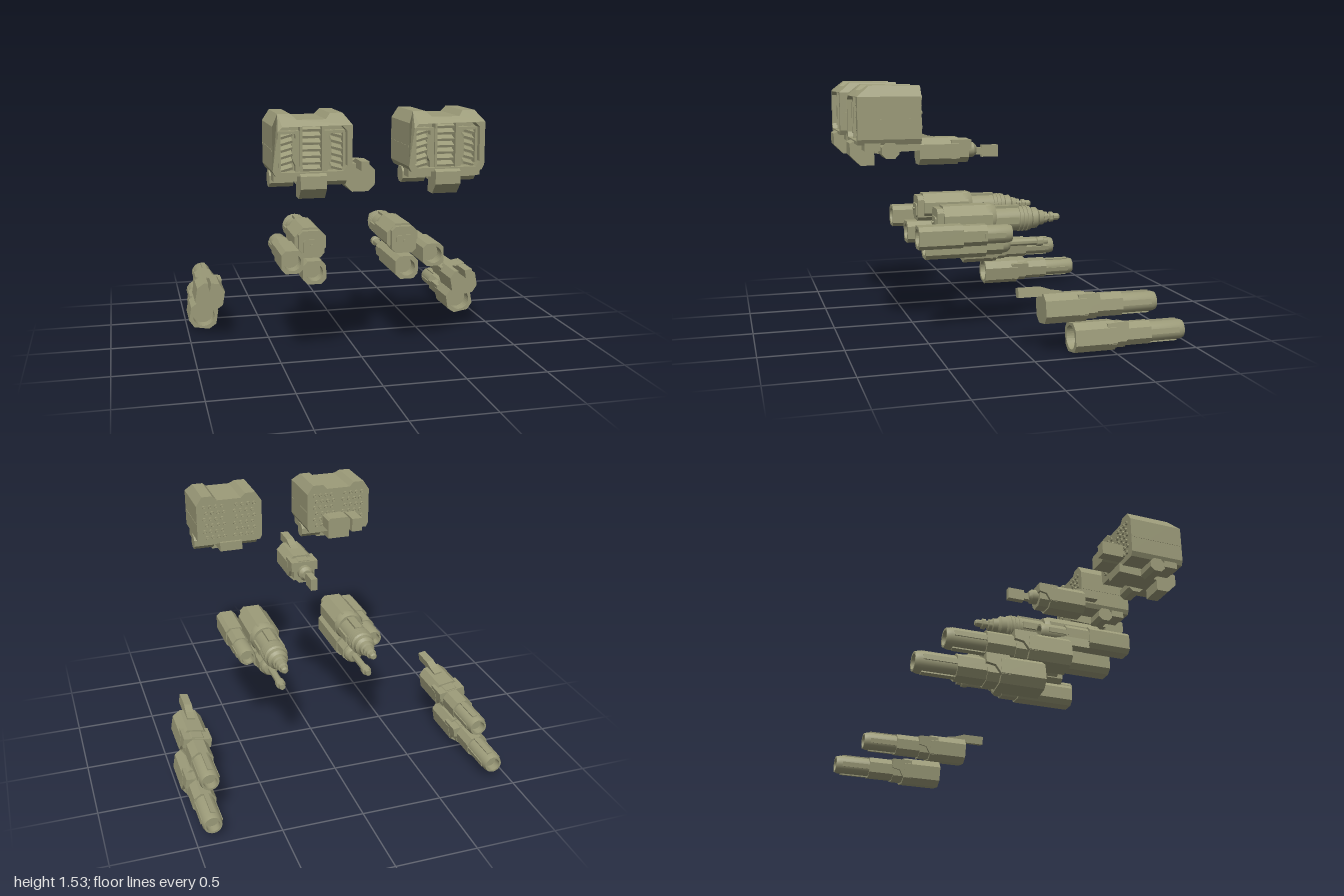
import * as THREE from 'three';
import { toCreasedNormals, mergeGeometries } from 'three/addons/utils/BufferGeometryUtils.js';

const olive = new THREE.MeshStandardMaterial({ color: 0x9c9b79, side: THREE.DoubleSide });
olive.name = 'olive grey';

function add(parent, name, geometry, x = 0, y = 0, z = 0) {
  const mesh = new THREE.Mesh(geometry, olive);
  mesh.name = name;
  mesh.position.set(x, y, z);
  parent.add(mesh);
  return mesh;
}
function group(parent, name, x = 0, y = 0, z = 0) {
  const g = new THREE.Group();
  g.name = name;
  g.position.set(x, y, z);
  parent.add(g);
  return g;
}
const shapeOf = pts => new THREE.Shape(pts.map(p => new THREE.Vector2(p[0], p[1])));
const box = (w, h, d) => new THREE.BoxGeometry(w, h, d);

// Extrude along z between z0 and z1
function extrudeZ(shape, z0, z1) {
  return new THREE.ExtrudeGeometry(shape, { depth: z1 - z0, bevelEnabled: false, curveSegments: 16 }).translate(0, 0, z0);
}
// Side profile given as (z, y) pairs, extruded across x
function extrudeX(pts, w) {
  return new THREE.ExtrudeGeometry(shapeOf(pts), { depth: w, bevelEnabled: false })
    .rotateY(-Math.PI / 2).translate(w / 2, 0, 0);
}
const octagon = (w, h, c) => {
  const a = w / 2, b = h / 2;
  return [[-a + c, -b], [a - c, -b], [a, -b + c], [a, b - c], [a - c, b], [-a + c, b], [-a, b - c], [-a, -b + c]];
};
// Chamfered bar along z, with an optional round recess in its front
function prism(w, h, c, z0, z1, bore = 0, depth = 0.08) {
  const solid = extrudeZ(shapeOf(octagon(w, h, c)), z0, z1 - (bore ? depth : 0));
  if (!bore) return solid;
  const ring = shapeOf(octagon(w, h, c));
  ring.holes.push(new THREE.Path().absarc(0, 0, bore, 0, Math.PI * 2, true));
  return mergeGeometries([solid, extrudeZ(ring, z1 - depth, z1)]);
}
// Turned part along z, profile given as (radius, z) pairs
function turned(pts, sides = 24) {
  const g = new THREE.LatheGeometry(pts.map(p => new THREE.Vector2(p[0], p[1])), sides).rotateX(Math.PI / 2);
  return toCreasedNormals(g, 0.6);
}
// Barrel with an open bore at its rear end
const barrel = (r, z0, z1) => turned([[0, z0 + 0.05], [r * 0.68, z0 + 0.05], [r * 0.68, z0],
  [r * 0.88, z0], [r, z0 + 0.025], [r, z1], [0, z1]]);

// Launcher pod: louvred front, nozzles behind
function pod(parent, s) {
  const g = group(parent, s > 0 ? 'leftPod' : 'rightPod', 0.38 * s, 0, 0);
  const outline = [[-0.205, 1.2], [0.205, 1.2], [0.22, 1.23], [0.22, 1.47], [0.18, 1.53], [0.11, 1.53],
    [0.08, 1.5], [-0.08, 1.5], [-0.11, 1.53], [-0.18, 1.53], [-0.22, 1.47], [-0.22, 1.23]];
  add(g, 'podBody', extrudeZ(shapeOf(outline), 0.55, 0.84));
  const rim = shapeOf(outline);
  rim.holes.push(new THREE.Path([[-0.17, 1.22], [-0.19, 1.25], [-0.19, 1.44], [-0.165, 1.465], [0.165, 1.465],
    [0.19, 1.44], [0.19, 1.25], [0.17, 1.22]].map(p => new THREE.Vector2(p[0], p[1]))));
  const rimGeo = extrudeZ(rim, 0.84, 0.915);
  const p = rimGeo.attributes.position;
  for (let i = 0; i < p.count; i++) { // slope the brow of the rim backwards
    if (p.getZ(i) > 0.9) p.setZ(i, p.getZ(i) - Math.max(0, p.getY(i) - 1.47) * 1.2);
  }
  rimGeo.computeVertexNormals();
  add(g, 'podRim', rimGeo);

  // Louvres
  for (let i = 0; i < 7; i++) {
    const y = 1.235 + i * 0.036;
    add(g, 'middleSlat', box(0.1, 0.014, 0.05), 0, y, 0.86).rotation.x = 0.35;
    for (const m of [-1, 1]) {
      if (i < 6) add(g, 'sideSlat', box(0.065, 0.014, 0.05), 0.137 * m, y + 0.005, 0.86).rotation.set(0.35, 0, -0.3 * m);
    }
  }
  for (const m of [-1, 1]) {
    add(g, 'louvrePost', box(0.014, 0.245, 0.06), 0.06 * m, 1.342, 0.868);
    const bracket = shapeOf([[0.065, 1.22], [0.09, 1.22], [0.09, 1.25], [0.108, 1.29], [0.108, 1.37],
      [0.09, 1.4], [0.09, 1.425], [0.185, 1.425], [0.185, 1.44], [0.065, 1.44]].map(q => [q[0] * m, q[1]]));
    add(g, 'louvreBracket', extrudeZ(bracket, 0.84, 0.885));
    add(g, 'outerPost', box(0.014, 0.19, 0.05), 0.178 * m, 1.335, 0.865);
    // Rounded feet below the pod
    const foot = octagon(0.1, 0.09, 0.025).map(q => [q[0] + 0.73, q[1] + 1.165]);
    add(g, 'podFoot', extrudeX(foot, 0.135), 0.15 * m);
    add(g, 'frontLip', box(0.13, 0.05, 0.09), 0.145 * m, 1.19, 0.83);
    add(g, 'sideSeam', box(0.006, 0.01, 0.34), 0.219 * m, 1.34, 0.73);
    // Rear nozzles
    for (let r = 0; r < 6; r++) for (let c = 0; c < 4; c++) {
      const x = 0.035 + c * 0.04 + (r % 2) * 0.014;
      add(g, 'nozzle', turned([[0, 0.012], [0.007, 0.012], [0.007, -0.01], [0.012, -0.01], [0.014, 0.015]], 8),
        x * m, 1.25 + r * 0.042, 0.548);
    }
  }
  add(g, 'chinBlock', extrudeX([[0.8, 1.07], [0.88, 1.07], [0.94, 1.13], [0.94, 1.2], [0.9, 1.22], [0.8, 1.22]], 0.145));
  add(g, 'bellyBlock', extrudeX([[0.53, 1.15], [0.8, 1.14], [0.8, 1.21], [0.53, 1.21]], 0.15));
  if (s < 0) {
    add(g, 'rearCoupler', prism(0.155, 0.1, 0.015, 0.43, 0.56), 0.035, 1.28);
    add(g, 'rearCouplerSide', box(0.07, 0.09, 0.16), -0.08, 1.28, 0.475);
  }
}

// Chamfered cannon housing with its front at z = 0
function housing(g, bore) {
  add(g, 'housing', prism(0.18, 0.17, 0.04, -0.25, 0, bore));
  add(g, 'housingCheeks', extrudeX([[-0.2, -0.05], [-0.25, -0.05], [-0.28, 0], [-0.33, 0.01], [-0.33, 0.07], [-0.2, 0.07]], 0.175));
  add(g, 'housingTail', prism(0.14, 0.15, 0.035, -0.32, -0.24));
}
const bladeProfile = [[0.14, 0.07], [-0.08, 0.07], [-0.12, 0.08], [-0.12, 0.095], [-0.06, 0.105], [0, 0.125], [0.14, 0.125]];

// Single cannon in the middle
function middleCannon(parent) {
  const g = group(parent, 'middleCannon', -0.002, 1.105, 0.455);
  housing(g, 0);
  add(g, 'sight', extrudeX(bladeProfile, 0.05), 0, -0.012, -0.015);
  add(g, 'collar', turned([[0, -0.38], [0.03, -0.38], [0.048, -0.36], [0.048, -0.31]]));
  add(g, 'stem', box(0.032, 0.045, 0.1), 0, -0.01, -0.4);
  add(g, 'stemBlock', box(0.042, 0.075, 0.11), 0, -0.01, -0.47);
}

// Outer pair of stacked cannons, leaning inward
function outerCannons(parent, s) {
  const back = s > 0 ? 0 : 0.03, lift = s > 0 ? 0 : 0.015;
  const g = group(parent, s > 0 ? 'leftOuterCannons' : 'rightOuterCannons', 0.866 * s, 0.265 + lift, -0.08 + back);
  g.rotation.z = 0.17 * s;
  const unit = (name, y, z, bore) => {
    const u = group(g, name, 0, y, z);
    housing(u, bore);
    add(u, 'sleeve', prism(0.135, 0.135, 0.035, -0.48, -0.3));
    add(u, 'barrel', barrel(0.06, -0.7, -0.4));
    for (const m of [-1, 1]) {
      add(u, 'barrelRail', box(0.012, 0.03, 0.2), 0.058 * m, 0, -0.56);
      add(u, 'barrelRib', box(0.03, 0.012, 0.2), 0, 0.06 * m, -0.56);
    }
    return u;
  };
  const top = unit('upperCannon', 0, 0, 0);
  add(top, 'sight', extrudeX(bladeProfile, 0.05));
  unit('lowerCannon', -0.178, -0.17, 0.07);
}

// Inner cluster of three cannons
function innerCluster(parent, s) {
  const g = group(parent, s > 0 ? 'leftInnerCluster' : 'rightInnerCluster');

  const main = group(g, 'mainCannon', 0.29 * s, 0.705, 0);
  add(main, 'mainHousing', prism(0.195, 0.18, 0.055, 0.07, 0.37));
  add(main, 'mainShoulder', turned([[0, 0.04], [0.085, 0.04], [0.097, 0.07], [0.097, 0.1]]));
  add(main, 'mainFront', prism(0.155, 0.165, 0.025, 0.3, 0.41), 0, -0.005);
  add(main, 'frontPlate', prism(0.1, 0.09, 0.012, 0.41, 0.418), 0, -0.02);
  add(main, 'frontPin', turned([[0, 0.43], [0.008, 0.43], [0.008, 0.41]].reverse(), 10), 0, -0.01);
  add(main, 'mainBarrel', turned([[0, -0.39], [0.014, -0.39], [0.022, -0.38], [0.022, -0.35], [0.032, -0.345], [0.032, -0.325],
    [0.022, -0.32], [0.022, -0.31], [0.035, -0.305], [0.035, -0.285], [0.045, -0.28], [0.048, -0.25], [0.065, -0.235],
    [0.065, -0.2], [0.075, -0.19], [0.075, 0.06]]), 0, -0.01);
  for (const z of [-0.17, -0.145, -0.12]) add(main, 'barrelBand', turned([[0.07, z - 0.008], [0.08, z - 0.005], [0.08, z + 0.005], [0.07, z + 0.008]]), 0, -0.01);
  for (const m of [-1, 1]) add(main, 'barrelRail', box(0.016, 0.04, 0.17), 0.077 * m, -0.01, -0.02);
  add(main, 'topRail', box(0.05, 0.02, 0.2), 0, 0.065, -0.02);

  const low = group(g, 'lowerCannon', 0.287 * s, 0.542, 0);
  add(low, 'lowerHousing', prism(0.142, 0.142, 0.03, 0.1, 0.48, 0.052));
  add(low, 'lowerSleeve', prism(0.125, 0.125, 0.035, -0.01, 0.1));
  add(low, 'lowerRod', turned([[0, -0.315], [0.018, -0.315], [0.018, -0.285], [0.03, -0.28], [0.03, -0.245], [0.022, -0.24],
    [0.022, -0.065], [0.045, -0.06], [0.058, -0.04], [0.058, 0]]));

  const side = group(g, 'sideCannon', 0.433 * s, 0.63, 0);
  add(side, 'sideHousing', prism(0.13, 0.138, 0.025, 0.28, 0.55, 0.052));
  add(side, 'sideSleeve', prism(0.118, 0.125, 0.03, 0.13, 0.28));
  add(side, 'sideBarrel', barrel(0.057, -0.03, 0.15));
  for (const m of [-1, 1]) add(side, 'sideRail', box(0.012, 0.03, 0.13), 0.055 * m, 0, 0.08);
}

export function createModel() {
  const model = new THREE.Group();
  model.name = 'weaponSet';
  for (const s of [1, -1]) {
    pod(model, s);
    innerCluster(model, s);
    outerCannons(model, s);
  }
  middleCannon(model);
  return model;
}
